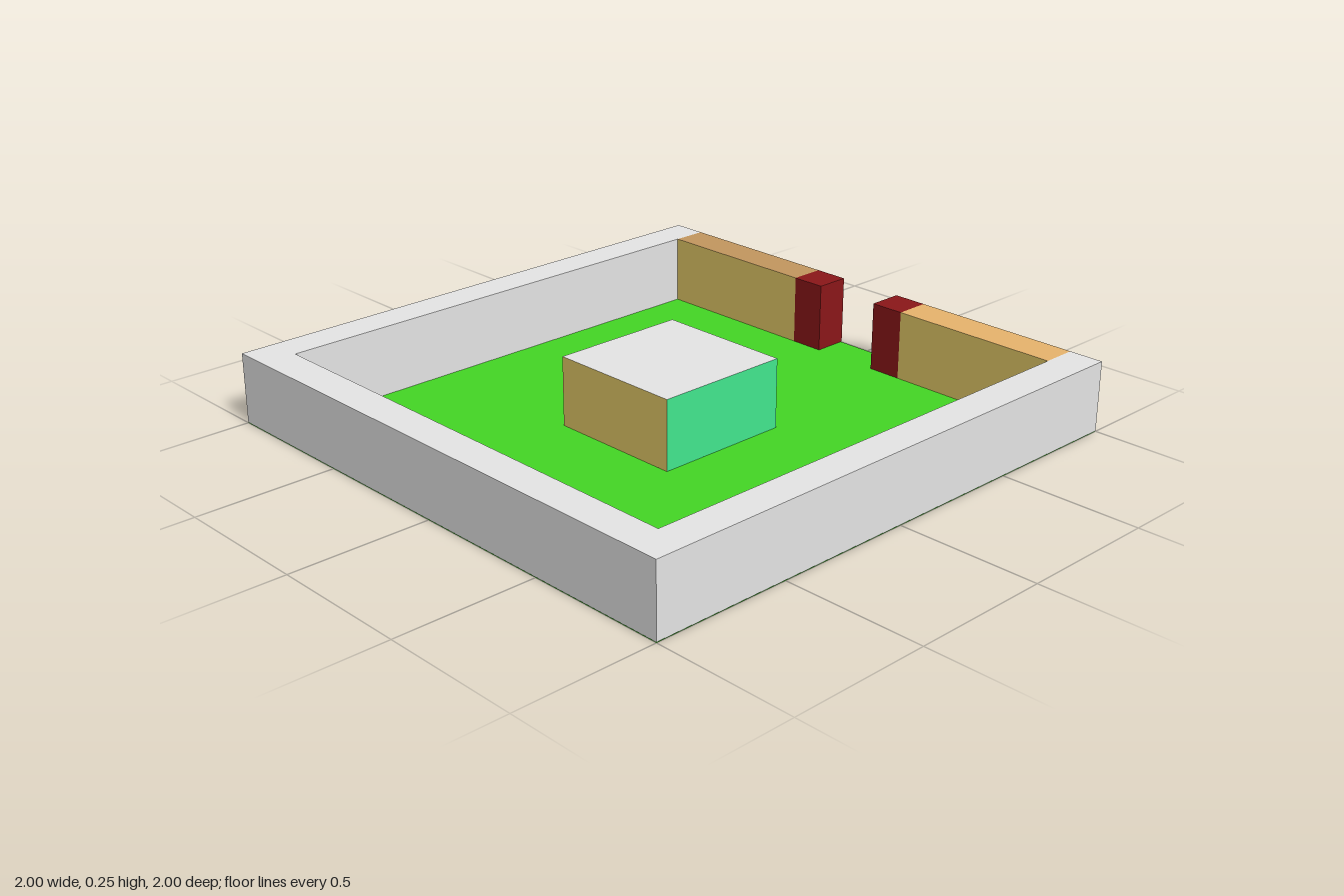
import * as THREE from 'three';

const H = 0.25;      // wall height
const LIFT = 0.002;  // keeps undersides clear of the ground sheet
const INNER = 0.875; // inner face of the walls

const mat = (name, color, side = THREE.FrontSide) => {
  const m = new THREE.MeshStandardMaterial({ color, side });
  m.name = name;
  return m;
};

export function createModel() {
  const group = new THREE.Group();
  group.name = 'walledCourtyard';

  const stone = mat('stone grey', 0xe5e5e5);
  const grass = mat('grass green', 0x44d625, THREE.DoubleSide);
  const lightWood = mat('light wood', 0xe7b46d);
  const darkWood = mat('dark wood', 0xc3975f);
  const red = mat('dark red', 0x8b1719);
  const yellow = mat('straw yellow', 0xe5ca68);
  const teal = mat('teal green', 0x44eb90);
  const blue = mat('sky blue', 0x54b4ec);

  const add = (name, geometry, material) => {
    const mesh = new THREE.Mesh(geometry, material);
    mesh.name = name;
    group.add(mesh);
    return mesh;
  };

  // Box standing on the ground, from x0..x1 and z0..z1
  const block = (name, x0, x1, z0, z1, material) => {
    const mesh = add(name, new THREE.BoxGeometry(x1 - x0, H - LIFT, z1 - z0), material);
    mesh.position.set((x0 + x1) / 2, (H + LIFT) / 2, (z0 + z1) / 2);
  };

  // Ground sheet
  add('ground', new THREE.PlaneGeometry(2, 2).rotateX(-Math.PI / 2), grass);

  // U-shaped stone wall, open at the back (shape y becomes -z)
  const outline = new THREE.Shape([
    [-1, -1], [1, -1], [1, 1], [INNER, 1],
    [INNER, -INNER], [-INNER, -INNER], [-INNER, 1], [-1, 1],
  ].map(([x, y]) => new THREE.Vector2(x, y)));
  const wall = new THREE.ExtrudeGeometry(outline, { depth: H - LIFT, bevelEnabled: false });
  add('stoneWall', wall.rotateX(-Math.PI / 2).translate(0, LIFT, 0), stone);

  // Back wall halves with yellow inner faces, and the gate posts
  for (const [side, s, wood] of [['left', 1, lightWood], ['right', -1, darkWood]]) {
    const span = (a, b) => (s > 0 ? [a, b] : [-b, -a]);
    block(`${side}BackWall`, ...span(0.25, INNER), -1, -INNER,
      [wood, wood, wood, wood, yellow, wood]);
    block(`${side}GatePost`, ...span(0.125, 0.25), -1, -INNER, red);
  }

  // Central block, a different colour on each side
  block('centreBlock', -0.25, 0.25, -0.25, 0.25, [teal, red, stone, stone, yellow, blue]);

  return group;
}
